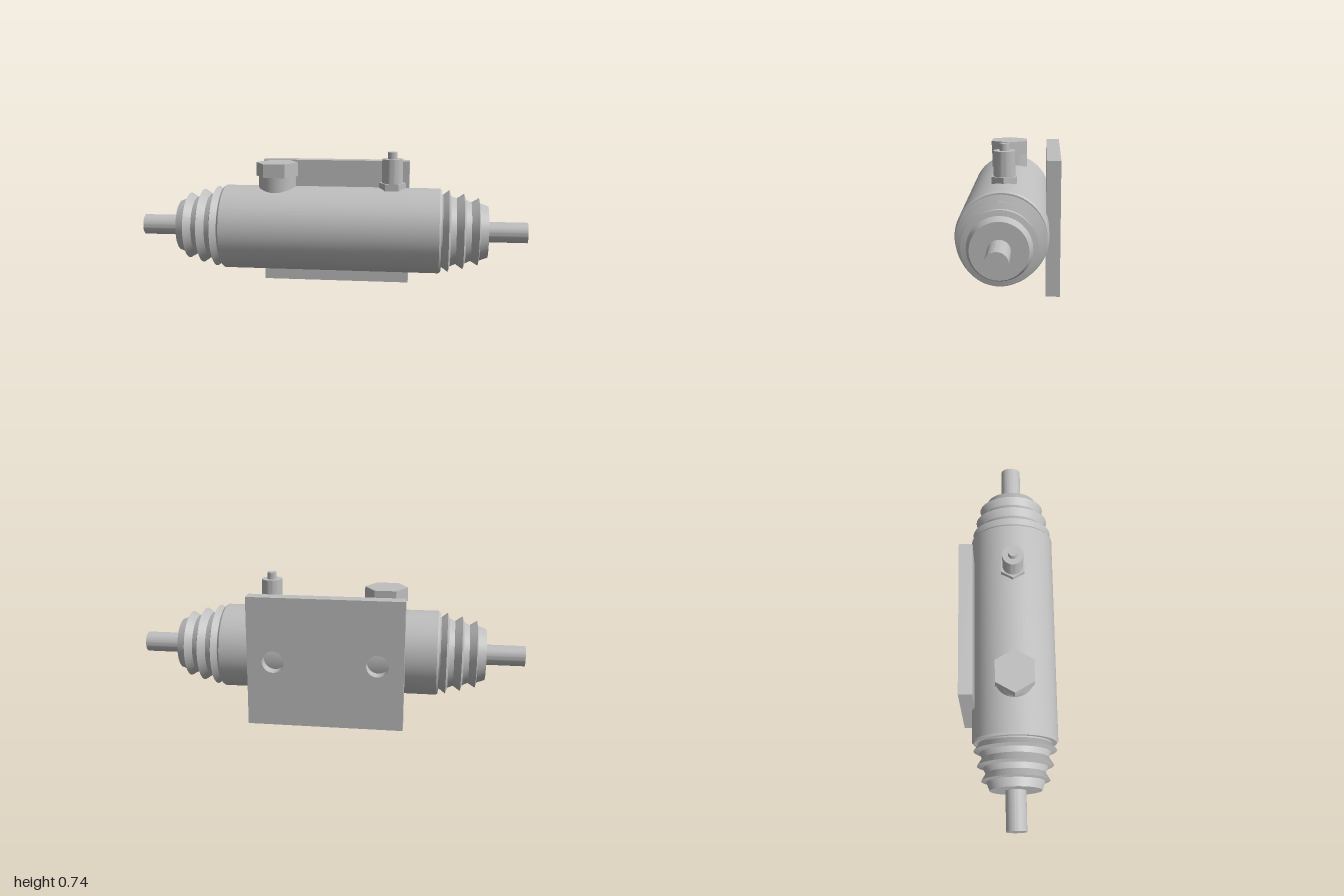
import * as THREE from 'three';
import { toCreasedNormals } from 'three/addons/utils/BufferGeometryUtils.js';

const AXIS_Y = 0.335, AXIS_Z = 0.027;

export function createModel() {
  const model = new THREE.Group();
  const metal = new THREE.MeshStandardMaterial({ color: 0xbebebe });
  metal.name = 'grey metal';

  const add = (name, geometry, x, y, z, parent = model) => {
    const mesh = new THREE.Mesh(toCreasedNormals(geometry, 0.3), metal);
    mesh.name = name;
    mesh.position.set(x, y, z);
    parent.add(mesh);
    return mesh;
  };
  // Profile of [distance along x, radius], turned around the x axis
  const turned = (profile) => new THREE.LatheGeometry(
    profile.map(([x, r]) => new THREE.Vector2(r, x)), 64).rotateZ(-Math.PI / 2);
  // Upright cylinder or hexagonal prism between two heights; hexagons point along x
  const upright = (name, x, r, y0, y1, sides = 48) => {
    const g = new THREE.CylinderGeometry(r, r, y1 - y0, sides).rotateY(Math.PI / 2);
    return add(name, g, x, (y0 + y1) / 2, AXIS_Z);
  };

  // Main cylinder with slightly chamfered rims
  add('cylinderBody', turned([
    [-0.565, 0], [-0.565, 0.21], [-0.555, 0.218],
    [0.555, 0.218], [0.565, 0.21], [0.565, 0],
  ]), 0, AXIS_Y, AXIS_Z);

  // Tapered rubber boots and push rods at both ends
  const bootProfile = [
    [0.56, 0.187], [0.572, 0.187], [0.602, 0.21], [0.612, 0.18],
    [0.64, 0.168], [0.677, 0.193], [0.687, 0.163],
    [0.715, 0.15], [0.752, 0.172], [0.757, 0.147],
    [0.8, 0.131], [0.8, 0],
  ];
  for (const side of [1, -1]) {
    const end = new THREE.Group();
    end.name = side > 0 ? 'leftEnd' : 'rightEnd';
    end.position.set(0, AXIS_Y, AXIS_Z);
    end.rotation.y = side > 0 ? 0 : Math.PI;
    add('boot', turned(bootProfile), 0, 0, 0, end);
    add('pushRod', turned([[0.78, 0], [0.78, 0.052], [1, 0.052], [1, 0]]), 0, 0, 0, end);
    model.add(end);
  }

  // Filler port with hexagonal plug
  upright('fillerNeck', -0.285, 0.096, 0.45, 0.607);
  upright('fillerPlug', -0.285, 0.11, 0.607, 0.677, 6);

  // Bleed valve
  upright('valveNut', 0.312, 0.069, 0.5, 0.58, 6);
  upright('valveBarrel', 0.312, 0.053, 0.58, 0.703);
  upright('valveTip', 0.312, 0.024, 0.703, 0.738);

  // Mounting plate with two bolt holes
  const plate = new THREE.Shape([
    new THREE.Vector2(-0.397, 0), new THREE.Vector2(0.393, 0),
    new THREE.Vector2(0.393, 0.667), new THREE.Vector2(-0.397, 0.667),
  ]);
  for (const x of [-0.265, 0.261]) {
    plate.holes.push(new THREE.Path().absarc(x, 0.335, 0.056, 0, Math.PI * 2, true));
  }
  add('mountingPlate', new THREE.ExtrudeGeometry(plate, {
    depth: 0.07, bevelEnabled: false, curveSegments: 32,
  }), 0, 0, -0.245);

  return model;
}
